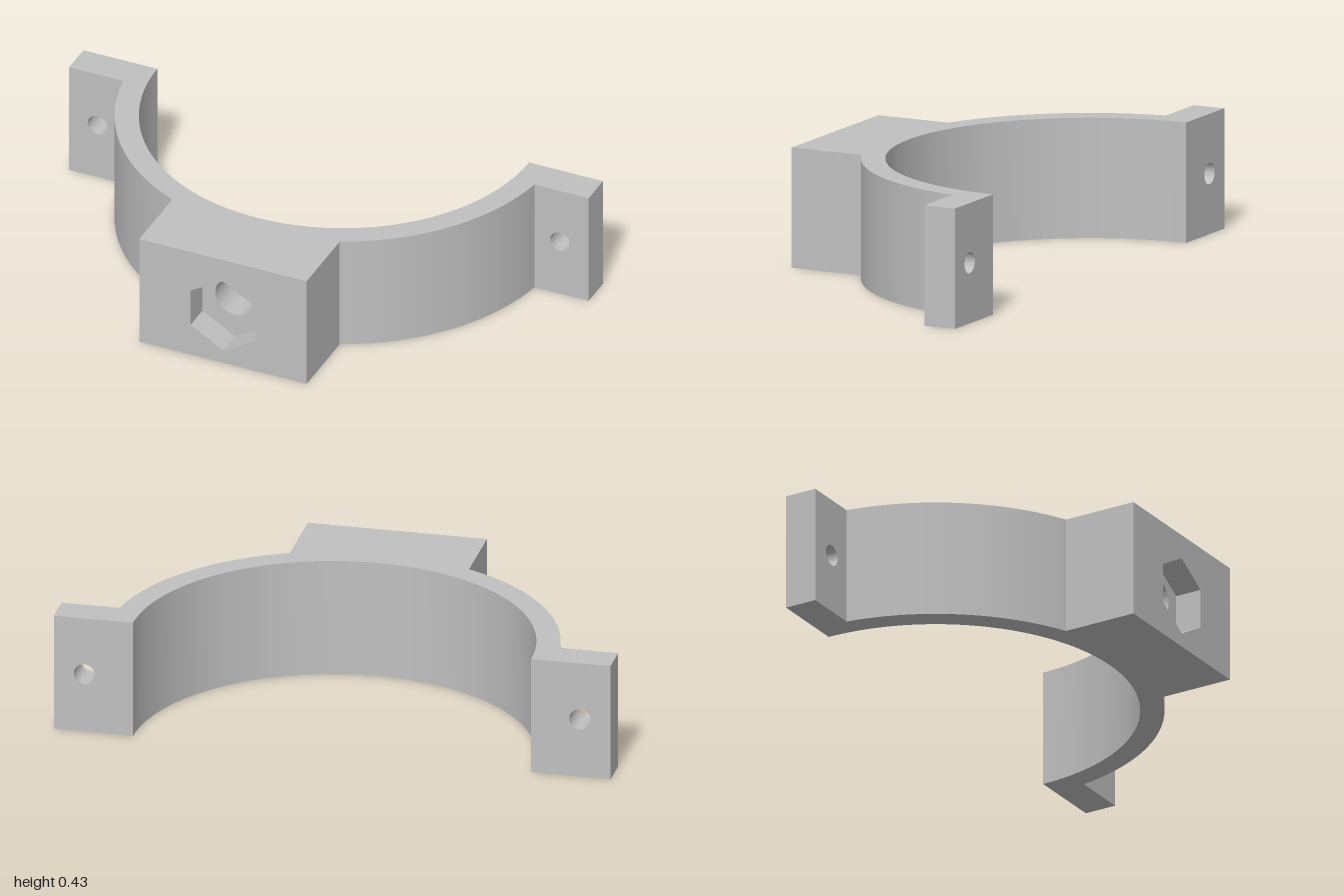
import * as THREE from 'three';
import { toCreasedNormals } from 'three/addons/utils/BufferGeometryUtils.js';

const H = 0.43;            // bracket height
const BACK = -0.505;       // back plane, also the centre of the arc
const INNER = 0.715, OUTER = 0.8;
const EAR = 0.12;          // ear thickness
const BLOCK = 0.322;       // half width of the nut block
const HOLE_Y = 0.217;

export function createModel() {
  const group = new THREE.Group();
  const grey = new THREE.MeshStandardMaterial({ color: 0xc0c0c0 });

  function extrude(name, shape, depth) {
    const geo = new THREE.ExtrudeGeometry(shape, { depth, bevelEnabled: false, curveSegments: 48 });
    const mesh = new THREE.Mesh(toCreasedNormals(geo, 0.5), grey);
    mesh.name = name;
    group.add(mesh);
    return mesh;
  }

  // upright plate between two x values, with one hole
  function plate(name, x0, x1, z0, z1, hole) {
    const s = new THREE.Shape();
    s.moveTo(x0, 0).lineTo(x1, 0).lineTo(x1, H).lineTo(x0, H).closePath();
    s.holes.push(hole);
    extrude(name, s, z1 - z0).position.z = z0;
  }

  const roundHole = (x, r) => new THREE.Path().absarc(x, HOLE_Y, r, 0, Math.PI * 2, true);

  // half-ring band with the saddle that carries the block, drawn in plan (x, z)
  const a0 = Math.asin(EAR / OUTER), a1 = Math.acos(BLOCK / OUTER);
  const earX = OUTER * Math.cos(a0);
  const saddleZ = BACK + OUTER;
  const plan = new THREE.Shape();
  plan.moveTo(INNER, BACK).lineTo(earX, BACK);
  plan.absarc(0, BACK, OUTER, a0, a1, false);
  plan.lineTo(BLOCK, saddleZ).lineTo(-BLOCK, saddleZ);
  plan.absarc(0, BACK, OUTER, Math.PI - a1, Math.PI - a0, false);
  plan.lineTo(-earX, BACK);
  plan.absarc(0, BACK, INNER, Math.PI, 0, true);
  const band = extrude('band', plan, H);
  band.rotation.x = Math.PI / 2;
  band.position.y = H;

  // mounting ears with screw holes
  plate('leftEar', earX, 1, BACK, BACK + EAR, roundHole(0.89, 0.038));
  plate('rightEar', -1, -earX, BACK, BACK + EAR, roundHole(-0.89, 0.038));

  // block: bolt hole behind a hexagonal nut pocket
  plate('boltBlock', -BLOCK, BLOCK, saddleZ, 0.405, roundHole(0, 0.075));
  const hex = [];
  for (let i = 0; i < 6; i++) {
    const a = Math.PI / 2 - i * Math.PI / 3;
    hex.push(new THREE.Vector2(0.145 * Math.cos(a), 0.196 + 0.145 * Math.sin(a)));
  }
  const pocket = new THREE.Path().setFromPoints(hex);
  pocket.closePath();
  plate('nutPocket', -BLOCK, BLOCK, 0.405, 0.505, pocket);

  return group;
}
